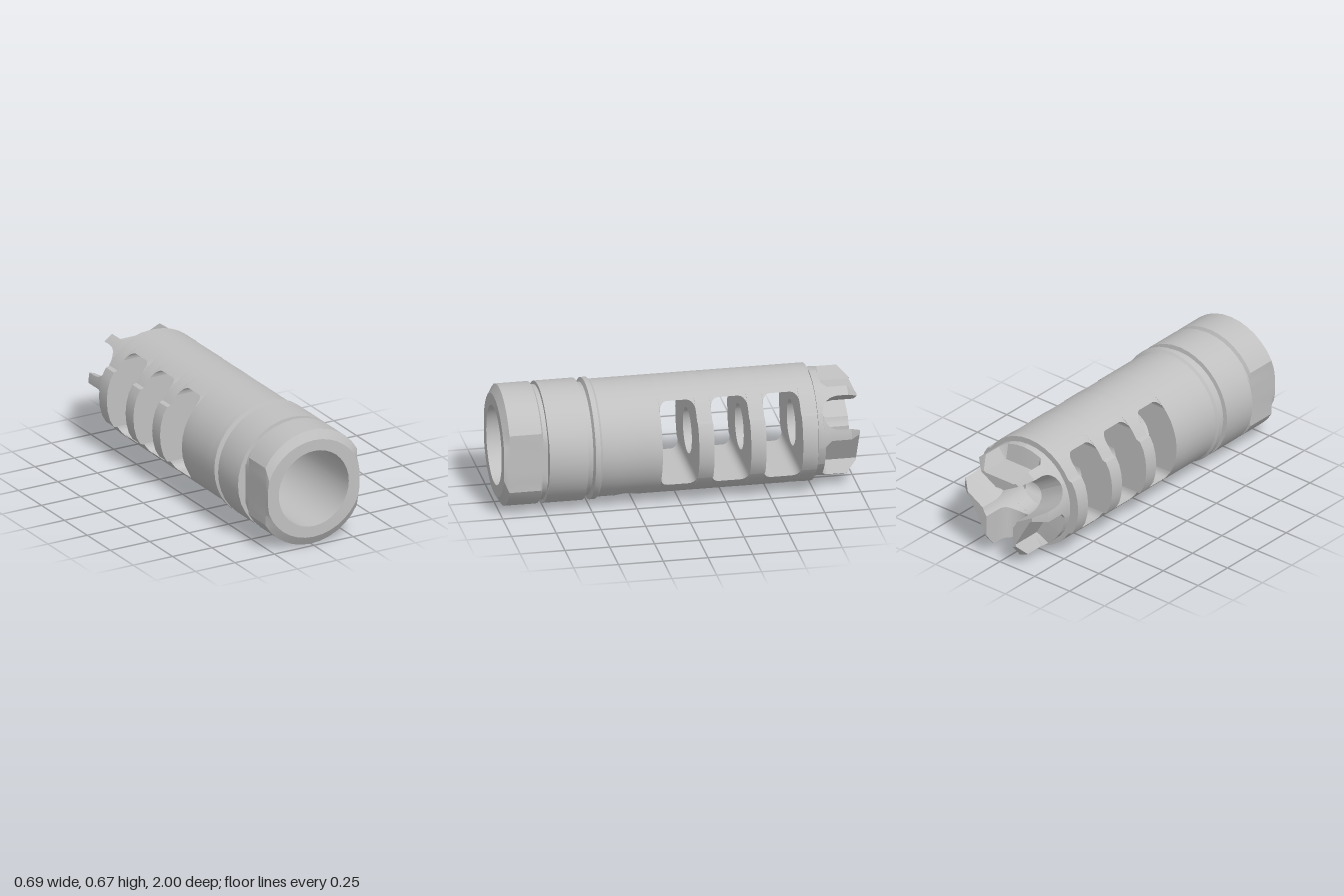
import * as THREE from 'three';
import { toCreasedNormals } from 'three/addons/utils/BufferGeometryUtils.js';

const steel = new THREE.MeshStandardMaterial({ color: 0xc0c0c0 });
steel.name = 'steel grey';

const RAD = Math.PI / 180;
const BODY = 0.325, RIM = 0.337, BORE = 0.128, SOCKET = 0.222;
const PATCH_ANGLE = 25, PATCH_HALF = 15, PATCH_Z = 0.085; // skin patch around each drain hole
const holes = [{ z: 0.285, r: 0.066, angle: 24 }, { z: -0.63, r: 0.055, angle: 20 }];

const polar = (deg, r) => [r * Math.cos(deg * RAD), r * Math.sin(deg * RAD)];
const range = (a, b, step) => Array.from({ length: Math.round((b - a) / step) + 1 }, (_, i) => a + i * step);

function toMesh(name, pos) {
  const g = new THREE.BufferGeometry();
  g.setAttribute('position', new THREE.Float32BufferAttribute(pos, 3));
  const mesh = new THREE.Mesh(toCreasedNormals(g, 0.5), steel);
  mesh.name = name;
  return mesh;
}

const tri = new THREE.Triangle();
function addQuad(pos, a, b, c, d) {
  for (const t of [[a, b, c], [a, c, d]]) {
    tri.a.set(...t[0]); tri.b.set(...t[1]); tri.c.set(...t[2]);
    if (tri.getArea() > 1e-9) pos.push(...t.flat());
  }
}

// True where the outer skin is left open for a drain hole patch
function inHolePatch(p, q) {
  const x = (p[0] + q[0]) / 2, y = (p[1] + q[1]) / 2, z = (p[2] + q[2]) / 2;
  const off = Math.abs(Math.atan2(Math.abs(x), -y) / RAD - PATCH_ANGLE);
  return off < PATCH_HALF && holes.some(h => Math.abs(z - h.z) < PATCH_Z - 0.001);
}

// Solid from stations in rising z, each an outer and an inner counterclockwise chain of [x, y]
function chainLoft(name, stations) {
  const pos = [], n = stations[0].outer.length - 1, last = stations.length - 1;
  const O = (s, i) => [...stations[s].outer[i], stations[s].z];
  const I = (s, i) => [...stations[s].inner[i], stations[s].z];
  for (let s = 0; s < last; s++) {
    for (let i = 0; i < n; i++) {
      if (!inHolePatch(O(s, i), O(s + 1, i + 1))) addQuad(pos, O(s, i), O(s, i + 1), O(s + 1, i + 1), O(s + 1, i));
      addQuad(pos, I(s, i), I(s + 1, i), I(s + 1, i + 1), I(s, i + 1));
    }
    addQuad(pos, O(s, 0), O(s + 1, 0), I(s + 1, 0), I(s, 0));
    addQuad(pos, O(s, n), I(s, n), I(s + 1, n), O(s + 1, n));
  }
  for (let i = 0; i < n; i++) {
    addQuad(pos, O(last, i), O(last, i + 1), I(last, i + 1), I(last, i));
    addQuad(pos, O(0, i), I(0, i), I(0, i + 1), O(0, i + 1));
  }
  return toMesh(name, pos);
}

// Turned tube; rows are [z, outer radius, inner radius], with wrench flats at the front
function tube(name, rows) {
  const angles = range(0, 360, 10);
  return chainLoft(name, rows.map(([z, ro, ri]) => ({
    z,
    // the mouth chamfer fades out towards the flats
    outer: angles.map(a => polar(a, ro)).map(([x, y]) =>
      [z > 0.754 ? THREE.MathUtils.clamp(z === 1 ? x * 1.05 : x, -0.29, 0.29) : x, y]),
    inner: angles.map(a => polar(a, ri)),
  })));
}

// Baffle disc with a raised rib on each side
function baffle(z0, z1) {
  const cols = [];
  for (const side of [0, 180]) {
    cols.push([side - 31, BODY], [side - 28, 0.342]);
    cols.push(...range(-20, 20, 10).map(a => [side + a, 0.347]));
    cols.push([side + 28, 0.342], [side + 31, BODY]);
    cols.push(...range(side + 40, side + 140, 10).map(a => [a, BODY]));
  }
  cols.push([329, BODY]);
  const outer = cols.map(([a, r]) => polar(a, r)), inner = cols.map(([a]) => polar(a, BORE));
  return chainLoft('baffle', [z0, z0 + 0.03, z1].map(z => ({ z, outer, inner })));
}

// Bridge above (dir 1) or below (dir -1) a port, with filleted ends
function portBridge(name, z0, z1, dir, limit, span) {
  const r = 0.045, ends = range(0, 90, 18).map(p => [r * (1 - Math.cos(p * RAD)), r * (1 - Math.sin(p * RAD))]);
  const rows = [
    ...ends.map(([d, o]) => [z0 + d, o]), [z0 + 0.115, 0],
    ...ends.slice().reverse().map(([d, o]) => [z1 - d, o]),
  ];
  return chainLoft(name, rows.map(([z, o]) => {
    const lim = limit - o, edge = Math.acos(lim / BODY) / RAD;
    const outer = [-edge, ...range(-span, span, 10), edge].map(a => polar(dir * 90 + a, BODY));
    return { z, outer, inner: outer.map(([x]) => [x, dir * lim]) };
  }));
}

// Countersunk blind hole, blended into the square opening left in the skin
function drainHole({ z, r, angle }, side) {
  const N = 24, pos = [];
  const at = (center, u, v, R) => [...polar(-90 + side * center + u / BODY / RAD, R), z + v];
  const ring = (rad, R) => range(0, N, 1).map(i => {
    const c = Math.cos(i / N * 2 * Math.PI), s = Math.sin(i / N * 2 * Math.PI);
    if (rad) return at(angle, rad * c, rad * s, R);
    const m = Math.max(Math.abs(c), Math.abs(s));
    return at(PATCH_ANGLE, c / m * PATCH_HALF * RAD * BODY, s / m * PATCH_Z, R);
  });
  const rows = [ring(0, BODY), ring(r, BODY), ring(r * 0.66, BODY - 0.025), ring(r * 0.66, 0.235), ring(1e-5, 0.235)];
  for (let k = 0; k < rows.length - 1; k++)
    for (let i = 0; i < N; i++) addQuad(pos, rows[k][i], rows[k][i + 1], rows[k + 1][i + 1], rows[k + 1][i]);
  return toMesh('drainHole', pos);
}

// Crown tooth between a pocket (at angle dir) and the round notch 60 degrees to one side
function crownTooth(dir, side) {
  const W = 0.095, tip = -0.88, floor = 0.19;
  const zs = [-1, -0.94, -0.83, -0.815, -0.797, -0.757, ...[0, 20, 40, 60, 75, 90].map(p => tip + W * Math.sin(p * RAD))];
  zs.sort((a, b) => a - b);
  return chainLoft('crownTooth', zs.map(z => {
    const R = z < -0.94 ? 0.3 - (-0.94 - z) / 0.06 * 0.07 : 0.3;
    const w = z <= tip ? W : Math.sqrt(Math.max(0, W * W - (z - tip) ** 2));
    const k = THREE.MathUtils.clamp((-0.797 - z) / 0.018, 0, 1);
    // pocket lip narrows at its back corners and on the end chamfer
    const corner = THREE.MathUtils.clamp((z + 0.83) / 0.033, 0, 1) * 0.03;
    const lip = Math.asin((0.15 - corner - (0.3 - R) * 0.5) / R) / RAD;
    const edge = 60 - Math.asin(w / R) / RAD, innerEdge = 60 - Math.asin(w / BORE) / RAD;
    // each point is [angle away from the pocket, radius]
    const outer = [0, 0.055, 0.11].map(u => {
      const v = THREE.MathUtils.lerp(Math.sqrt(R * R - u * u), floor, k);
      return [Math.atan2(u, v) / RAD, Math.hypot(u, v)];
    });
    for (let i = 0; i <= 4; i++) outer.push([lip + (edge - lip) * i / 4, R]);
    const inner = outer.map((_, i) => [innerEdge * i / (outer.length - 1), BORE]);
    const place = chain => {
      const pts = chain.map(([a, r]) => polar(dir + side * a, r));
      return side > 0 ? pts : pts.reverse();
    };
    return { z, outer: place(outer), inner: place(inner) };
  }));
}

export function createModel() {
  const model = new THREE.Group();
  model.name = 'muzzleBrake';
  const body = new THREE.Group();
  body.name = 'body';
  body.position.y = RIM;
  model.add(body);

  // Front barrel with socket, ring grooves, flats and chamfered mouth
  body.add(tube('frontBarrel', [
    [0.12, BODY, BORE], [0.2, BODY, BORE], [0.2, BODY, SOCKET], [0.37, BODY, SOCKET], [0.455, BODY, SOCKET],
    [0.467, RIM, SOCKET], [0.495, RIM, SOCKET], [0.505, 0.313, SOCKET], [0.532, 0.313, SOCKET],
    [0.536, RIM, SOCKET], [0.753, RIM, SOCKET], [0.755, RIM, SOCKET], [0.757, 0.318, SOCKET],
    [0.78, 0.318, SOCKET], [0.79, RIM, SOCKET], [0.97, RIM, SOCKET], [1, 0.286, SOCKET],
  ]));

  // Three ports, each followed by a baffle
  for (const [front, back, next] of [[0.12, -0.08, -0.165], [-0.165, -0.37, -0.455], [-0.455, -0.66, -0.745]]) {
    body.add(portBridge('upperBridge', back, front, 1, 0.265, 30));
    body.add(portBridge('lowerBridge', back, front, -1, 0.208, 40));
    body.add(baffle(next, back));
  }

  // Paired drain holes underneath
  for (const h of holes) for (const side of [-1, 1]) body.add(drainHole(h, side));

  // Neck and crown
  body.add(tube('neck', [[-0.757, 0.29, BORE], [-0.745, 0.29, BORE]]));
  const crown = new THREE.Group();
  crown.name = 'crown';
  for (const dir of [90, 210, 330]) for (const side of [-1, 1]) crown.add(crownTooth(dir, side));
  body.add(crown);
  return model;
}
